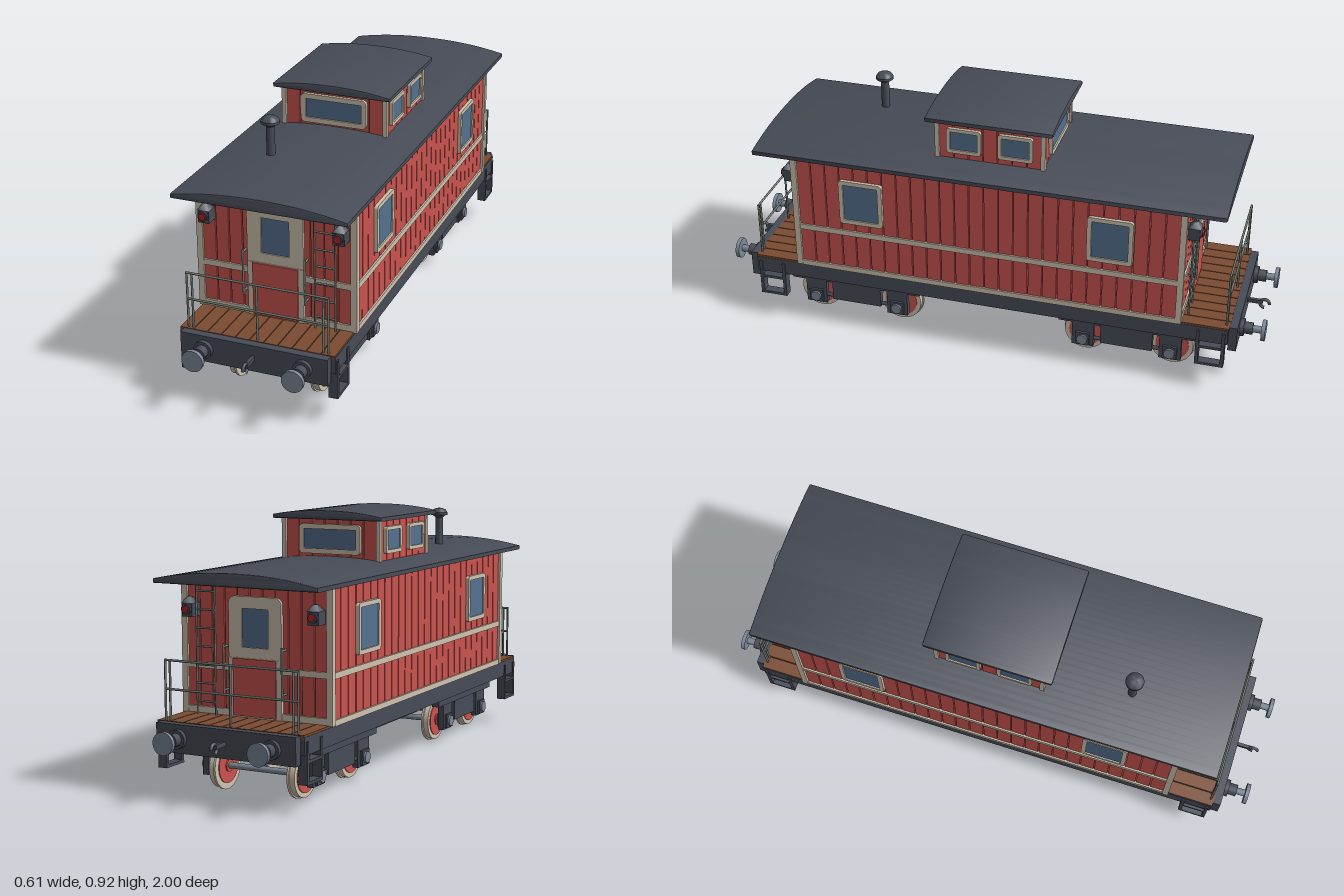
import * as THREE from 'three';
import { toCreasedNormals } from 'three/addons/utils/BufferGeometryUtils.js';

const mat = (name, color) => Object.assign(new THREE.MeshStandardMaterial({ color }), { name });
const red = mat('barn red', 0xc9544f), dark = mat('charcoal', 0x474c57), cream = mat('cream trim', 0xd0c3b0);
const glass = mat('window blue', 0x55708f), wood = mat('deck brown', 0x7b4c32), rail = mat('rail grey', 0x727c76);
const steel = mat('steel', 0x7d8796), lensRed = mat('lamp red', 0xb8262a);

function add(parent, name, geo, m, x = 0, y = 0, z = 0) {
  const mesh = new THREE.Mesh(geo, m);
  mesh.name = name;
  mesh.position.set(x, y, z);
  parent.add(mesh);
  return mesh;
}

// Box given by its minimum and maximum on each axis
function box(parent, name, m, x0, x1, y0, y1, z0, z1) {
  return add(parent, name, new THREE.BoxGeometry(x1 - x0, y1 - y0, z1 - z0), m,
    (x0 + x1) / 2, (y0 + y1) / 2, (z0 + z1) / 2);
}

// Round bar between two points
function rod(parent, name, m, a, b, r, sides = 8) {
  const p = new THREE.Vector3(...a), q = new THREE.Vector3(...b), d = q.clone().sub(p);
  const mesh = add(parent, name, new THREE.CylinderGeometry(r, r, d.length(), sides), m);
  mesh.position.copy(p).add(q).multiplyScalar(0.5);
  mesh.quaternion.setFromUnitVectors(new THREE.Vector3(0, 1, 0), d.normalize());
}

function group(parent, name, x = 0, y = 0, z = 0, ry = 0) {
  const g = new THREE.Group();
  g.name = name;
  g.position.set(x, y, z);
  g.rotation.y = ry;
  parent.add(g);
  return g;
}

function roundRect(Type, x0, x1, y0, y1, r) {
  const s = new Type();
  s.absarc(x1 - r, y1 - r, r, 0, Math.PI / 2);
  s.absarc(x0 + r, y1 - r, r, Math.PI / 2, Math.PI);
  s.absarc(x0 + r, y0 + r, r, Math.PI, Math.PI * 1.5);
  s.absarc(x1 - r, y0 + r, r, Math.PI * 1.5, Math.PI * 2);
  s.closePath();
  return s;
}

// Raised cream frame with a recessed pane, facing +z
function windowUnit(parent, name, x, y, w, h, border, r) {
  const g = group(parent, name, x, y, 0);
  const s = roundRect(THREE.Shape, -w / 2, w / 2, -h / 2, h / 2, r);
  const gw = w / 2 - border, gh = h / 2 - border;
  s.holes.push(roundRect(THREE.Path, -gw, gw, -gh, gh, 0.003));
  add(g, 'windowFrame', new THREE.ExtrudeGeometry(s, { depth: 0.014, bevelEnabled: false, curveSegments: 5 }), cream, 0, 0, -0.002);
  box(g, 'windowPane', glass, -gw, gw, -gh, gh, 0, 0.007);
}

// Vertical boards with narrow grooves, facing +z
function boards(parent, width, y0, y1, count) {
  const step = width / count;
  for (let i = 0; i < count; i++) {
    const x = -width / 2 + i * step;
    box(parent, 'board', red, x + 0.002, x + step - 0.002, y0, y1, -0.006, 0);
  }
}

// Shallow curved roof, extruded along z
function roof(parent, name, halfW, halfL, y0, edge, y1) {
  const b = 0.006, s = new THREE.Shape(), w = halfW - b;
  s.moveTo(-w, y0 + b);
  s.lineTo(w, y0 + b);
  for (let i = 0; i <= 24; i++) {
    const t = 1 - i / 12;
    s.lineTo(w * t, y1 - b - (y1 - edge - b) * Math.pow(Math.abs(t), 2.2));
  }
  s.closePath();
  const geo = new THREE.ExtrudeGeometry(s, { depth: 2 * (halfL - b), bevelThickness: b, bevelSize: b, bevelSegments: 2 });
  add(parent, name, toCreasedNormals(geo, 0.5), dark, 0, 0, -(halfL - b));
}

// Wheel set carrier with side frames
function truck(parent, z) {
  const g = group(parent, 'truck', 0, 0, z);
  box(g, 'bolster', dark, -0.185, 0.185, 0.09, 0.15, -0.07, 0.07);
  rod(g, 'pivot', dark, [0, 0.14, 0], [0, 0.2, 0], 0.05, 16);
  for (const wz of [-0.16, 0.16]) {
    rod(g, 'axle', steel, [-0.19, 0.082, wz], [0.19, 0.082, wz], 0.011, 12);
    for (const s of [-1, 1]) {
      rod(g, 'tyre', cream, [s * 0.141, 0.082, wz], [s * 0.163, 0.082, wz], 0.077, 28);
      rod(g, 'flange', cream, [s * 0.136, 0.082, wz], [s * 0.144, 0.082, wz], 0.082, 28);
      rod(g, 'wheelDisc', red, [s * 0.133, 0.082, wz], [s * 0.166, 0.082, wz], 0.061, 24);
      rod(g, 'wheelHub', red, [s * 0.128, 0.082, wz], [s * 0.171, 0.082, wz], 0.022, 12);
    }
  }
  for (const s of [-1, 1]) {
    const f = group(g, 'sideFrame', s * 0.2, 0, 0);
    box(f, 'topBar', dark, -0.015, 0.015, 0.147, 0.174, -0.25, 0.25);
    box(f, 'bearingPad', dark, -0.012, 0.012, 0.172, 0.184, -0.065, 0.065);
    box(f, 'springPlate', dark, -0.012, 0.012, 0.072, 0.15, -0.095, 0.095);
    for (const wz of [-0.16, 0.16]) {
      box(f, 'axleGuard', dark, -0.011, 0.011, 0.05, 0.15, wz - 0.04, wz + 0.04);
      box(f, 'axleBox', dark, -0.02, 0.02, 0.056, 0.108, wz - 0.026, wz + 0.026);
      rod(f, 'axleCap', steel, [s * 0.015, 0.082, wz], [s * 0.028, 0.082, wz], 0.02, 12);
    }
    rod(f, 'tieBar', dark, [0, 0.082, -0.16], [0, 0.082, 0.16], 0.008, 6);
  }
}

// End platform, door, rails, lamps and bumpers, built facing +z
function carEnd(car, dir) {
  const g = group(car, dir > 0 ? 'frontEnd' : 'backEnd', 0, 0, 0, dir > 0 ? 0 : Math.PI);
  for (let i = 0; i < 11; i++) {
    const x = -0.275 + i * 0.05;
    box(g, 'deckPlank', wood, x + 0.0015, x + 0.0485, 0.25, 0.262, 0.7, 0.882);
  }
  box(g, 'endBeam', dark, -0.26, 0.26, 0.165, 0.26, 0.88, 0.91);

  const wall = group(g, 'endWall', 0, 0, 0.708);
  boards(wall, 0.53, 0.262, 0.71, 11);
  box(wall, 'doorBase', cream, -0.1, 0.1, 0.262, 0.46, -0.004, 0.012);
  const s = roundRect(THREE.Shape, -0.1, 0.1, 0.44, 0.663, 0.025);
  s.holes.push(roundRect(THREE.Path, -0.05, 0.05, 0.495, 0.623, 0.002));
  add(wall, 'doorFrame', new THREE.ExtrudeGeometry(s, { depth: 0.014, bevelEnabled: false, curveSegments: 5 }), cream, 0, 0, -0.004);
  box(wall, 'doorPane', glass, -0.051, 0.051, 0.494, 0.624, -0.002, 0.006);
  box(wall, 'doorPanel', red, -0.081, 0.081, 0.267, 0.458, 0.01, 0.017);
  for (const sx of [-1, 1]) for (const [y0, y1] of [[0.413, 0.434], [0.262, 0.284]])
    box(wall, 'endTrim', cream, ...(sx > 0 ? [0.1, 0.265] : [-0.265, -0.1]), y0, y1, -0.004, 0.006);

  // Roof ladder
  const lx = dir * 0.18;
  for (const dx of [-0.036, 0.036]) rod(g, 'ladderSide', rail, [lx + dx, 0.262, 0.73], [lx + dx, 0.71, 0.73], 0.0035);
  for (let i = 0; i < 7; i++) {
    const y = 0.305 + i * 0.0615;
    rod(g, 'ladderRung', rail, [lx - 0.036, y, 0.73], [lx + 0.036, y, 0.73], 0.0035);
  }

  // Platform railing
  for (const y of [0.365, 0.46]) rod(g, 'railBar', rail, [-0.25, y, 0.87], [0.25, y, 0.87], 0.004);
  for (const x of [-0.248, -0.23, 0, 0.23, 0.248]) rod(g, 'railPost', rail, [x, 0.26, 0.87], [x, 0.46, 0.87], 0.004);

  for (const sx of [-1, 1]) {
    // Door grab rail
    rod(g, 'grabRail', rail, [sx * 0.11, 0.34, 0.733], [sx * 0.11, 0.505, 0.733], 0.004);
    for (const y of [0.35, 0.495]) rod(g, 'grabBracket', rail, [sx * 0.11, y, 0.705], [sx * 0.11, y, 0.733], 0.004);

    // Marker lamp
    const lamp = group(g, 'markerLamp', sx * 0.237, 0, 0.737);
    box(lamp, 'lampBody', dark, -0.02, 0.02, 0.588, 0.633, -0.03, 0.018);
    const cap = add(lamp, 'lampCap', new THREE.CylinderGeometry(0.009, 0.03, 0.022, 4), dark, 0, 0.644, 0);
    cap.rotation.y = Math.PI / 4;
    rod(lamp, 'lampHood', dark, [0, 0.614, 0.015], [0, 0.614, 0.026], 0.018, 14);
    rod(lamp, 'lampLens', lensRed, [0, 0.614, 0.022], [0, 0.614, 0.031], 0.012, 14);

    // Boarding step
    const x0 = sx > 0 ? 0.247 : -0.28, x1 = x0 + 0.033;
    for (const z of [0.77, 0.86]) box(g, 'stepHanger', dark, x0, x1, 0.1, 0.24, z, z + 0.012);
    for (const y of [0.1, 0.17]) box(g, 'stepTread', dark, x0, x1, y, y + 0.01, 0.77, 0.872);

    // Bumper
    const bx = sx * 0.175;
    rod(g, 'bumperBase', dark, [bx, 0.213, 0.905], [bx, 0.213, 0.925], 0.032, 18);
    rod(g, 'bumperSleeve', dark, [bx, 0.213, 0.92], [bx, 0.213, 0.955], 0.022, 16);
    rod(g, 'bumperShank', steel, [bx, 0.213, 0.95], [bx, 0.213, 0.99], 0.013, 12);
    rod(g, 'bumperHead', steel, [bx, 0.213, 0.986], [bx, 0.213, 1], 0.038, 24);
  }

  // Draw hook
  box(g, 'hookShank', dark, -0.006, 0.006, 0.207, 0.222, 0.9, 0.965);
  const hook = add(g, 'drawHook', new THREE.TorusGeometry(0.017, 0.006, 8, 14, Math.PI * 1.5), dark, 0, 0.208, 0.972);
  hook.rotation.y = -Math.PI / 2;
}

export function createModel() {
  const car = new THREE.Group();
  car.name = 'caboose';

  // Underframe
  box(car, 'underframe', dark, -0.275, 0.275, 0.196, 0.255, -0.88, 0.88);
  box(car, 'equipmentBox', dark, -0.138, 0.138, 0.13, 0.2, -0.24, 0.24);
  truck(car, 0.518);
  truck(car, -0.512);
  carEnd(car, 1);
  carEnd(car, -1);

  // Cabin
  box(car, 'cabinCore', red, -0.27, 0.27, 0.25, 0.715, -0.703, 0.703);
  for (const s of [-1, 1]) {
    const wall = group(car, 'sideWall', s * 0.276, 0, 0, s * Math.PI / 2);
    boards(wall, 1.39, 0.255, 0.71, 26);
    box(wall, 'beltTrim', cream, -0.7, 0.7, 0.41, 0.431, -0.004, 0.006);
    box(wall, 'baseTrim', cream, -0.7, 0.7, 0.256, 0.276, -0.004, 0.006);
    for (const x of [-0.453, 0.453]) windowUnit(wall, 'sideWindow', x, 0.552, 0.162, 0.174, 0.016, 0.012);
    for (const t of [-1, 1])
      add(car, 'cornerPost', new THREE.BoxGeometry(0.022, 0.45, 0.022), cream, s * 0.274, 0.484, t * 0.704);
  }
  roof(car, 'mainRoof', 0.306, 0.85, 0.706, 0.716, 0.751);

  // Lookout cupola
  const cupola = group(car, 'cupola');
  box(cupola, 'cupolaCore', red, -0.183, 0.183, 0.71, 0.89, -0.187, 0.187);
  for (const s of [-1, 1]) {
    const side = group(cupola, 'cupolaSide', s * 0.189, 0, 0, s * Math.PI / 2);
    boards(side, 0.37, 0.715, 0.887, 7);
    for (const x of [-0.093, 0.093]) windowUnit(side, 'cupolaSideWindow', x, 0.812, 0.125, 0.095, 0.013, 0.01);
    const end = group(cupola, 'cupolaEnd', 0, 0, s * 0.193, s > 0 ? 0 : Math.PI);
    boards(end, 0.36, 0.715, 0.887, 7);
    windowUnit(end, 'cupolaEndWindow', 0, 0.812, 0.244, 0.105, 0.018, 0.016);
    for (const t of [-1, 1])
      add(cupola, 'cupolaPost', new THREE.BoxGeometry(0.016, 0.175, 0.016), cream, s * 0.188, 0.8, t * 0.191);
  }
  roof(cupola, 'cupolaRoof', 0.216, 0.23, 0.882, 0.891, 0.915);

  // Stove pipe
  const profile = [[0, 0.73], [0.015, 0.73], [0.015, 0.85], [0.022, 0.857], [0.032, 0.86], [0.032, 0.87], [0.025, 0.88], [0.012, 0.886], [0, 0.887]];
  const pipe = new THREE.LatheGeometry(profile.map(p => new THREE.Vector2(...p)), 20);
  add(car, 'stovePipe', toCreasedNormals(pipe, 0.6), dark, -0.11, 0, 0.49);
  return car;
}
